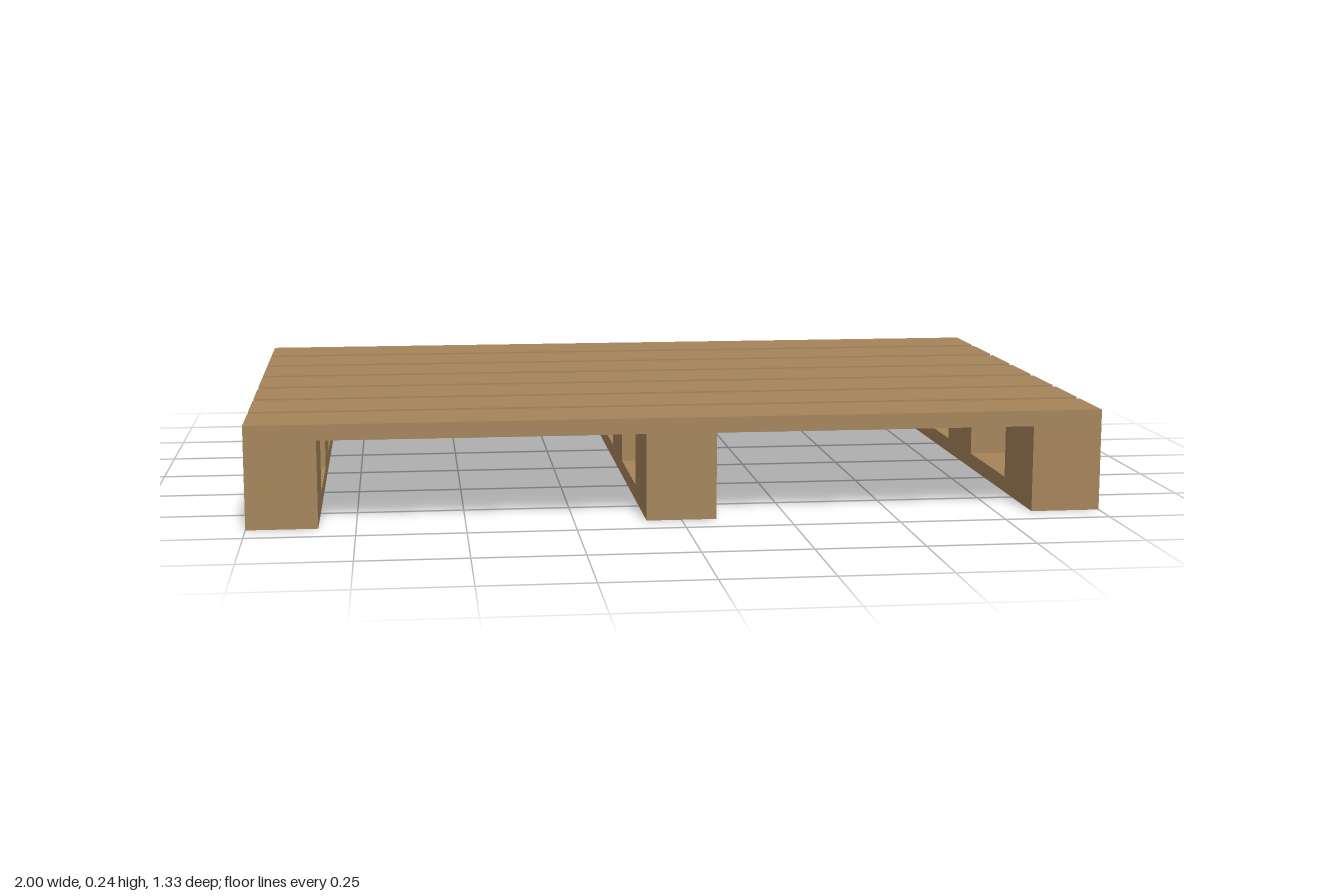
import * as THREE from 'three';

export function createModel() {
  const wood = new THREE.MeshStandardMaterial({ color: 0xa5845a });
  wood.name = 'wood';
  const group = new THREE.Group();
  group.name = 'pallet';

  const halfDepth = 0.667, beamHeight = 0.204, beamWidth = 0.164, boardWidth = 0.167, top = 0.241;

  const rect = (path, z0, y0, z1, y1) =>
    path.moveTo(z0, y0).lineTo(z1, y0).lineTo(z1, y1).lineTo(z0, y1).closePath();

  // Beam side profile with two fork openings
  const profile = rect(new THREE.Shape(), -halfDepth, 0, halfDepth, beamHeight);
  for (const c of [-0.275, 0.275]) {
    profile.holes.push(rect(new THREE.Path(), c - 0.159, 0.038, c + 0.159, 0.17));
  }
  const beamGeometry = new THREE.ExtrudeGeometry(profile, { depth: beamWidth, bevelEnabled: false });
  beamGeometry.translate(0, 0, -beamWidth / 2).rotateY(-Math.PI / 2);

  // Three beams running front to back
  const beamOffset = 1 - beamWidth / 2;
  [['rightBeam', -beamOffset], ['middleBeam', 0], ['leftBeam', beamOffset]].forEach(([name, x]) => {
    const beam = new THREE.Mesh(beamGeometry, wood);
    beam.name = name;
    beam.position.x = x;
    group.add(beam);
  });

  // Seven evenly spaced deck boards
  const boardGeometry = new THREE.BoxGeometry(2, top - beamHeight, boardWidth);
  const reach = halfDepth - boardWidth / 2;
  for (let i = 0; i < 7; i++) {
    const board = new THREE.Mesh(boardGeometry, wood);
    board.name = `deckBoard${i + 1}`;
    board.position.set(0, (top + beamHeight) / 2, -reach + (i * reach) / 3);
    group.add(board);
  }
  return group;
}
